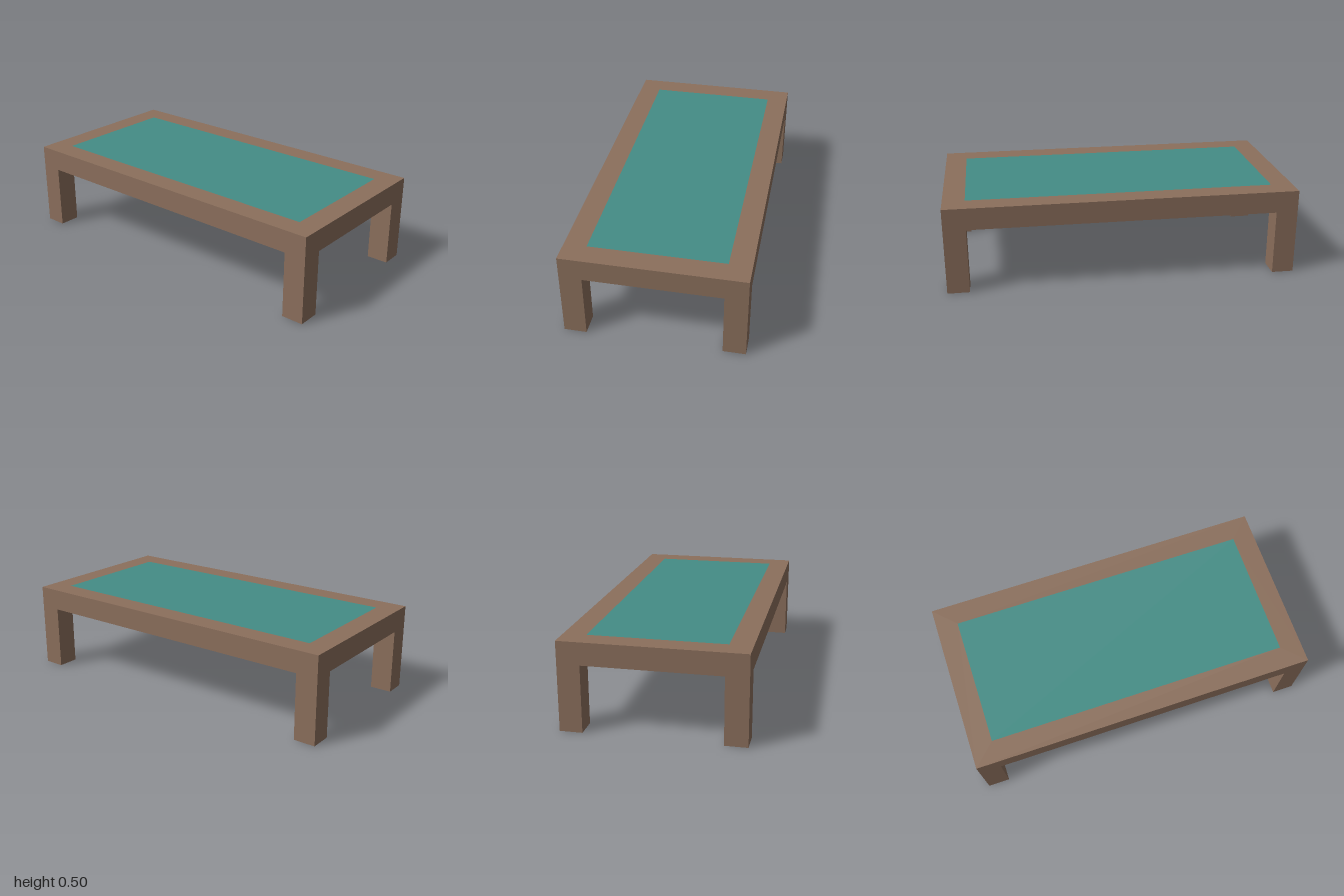
import * as THREE from 'three';

export function createModel() {
  const group = new THREE.Group();
  const wood = new THREE.MeshStandardMaterial({ color: 0x8b6f5c });
  wood.name = 'brown wood';
  const teal = new THREE.MeshStandardMaterial({ color: 0x448d86 });
  teal.name = 'teal panel';

  const length = 2, depth = 1, height = 0.5, beam = 0.125;
  const legHeight = height - beam;

  const box = (name, material, size, position) => {
    const mesh = new THREE.Mesh(new THREE.BoxGeometry(...size), material);
    mesh.name = name;
    mesh.position.set(...position);
    group.add(mesh);
  };

  // Rectangular frame around the table top
  const rectangle = (path, w, d) => path
    .moveTo(-w / 2, -d / 2).lineTo(w / 2, -d / 2)
    .lineTo(w / 2, d / 2).lineTo(-w / 2, d / 2).closePath();
  const outline = new THREE.Shape();
  rectangle(outline, length, depth);
  const opening = new THREE.Path();
  rectangle(opening, length - 2 * beam, depth - 2 * beam);
  outline.holes.push(opening);
  const frameGeometry = new THREE.ExtrudeGeometry(outline, { depth: beam, bevelEnabled: false });
  frameGeometry.rotateX(-Math.PI / 2);
  const frame = new THREE.Mesh(frameGeometry, wood);
  frame.name = 'topFrame';
  frame.position.y = legHeight;
  group.add(frame);

  // Inset panel, flush with the frame above and below
  box('topPanel', teal, [length - 2 * beam, beam, depth - 2 * beam], [0, height - beam / 2, 0]);

  // Four square corner legs
  for (const [side, sx] of [['Left', 1], ['Right', -1]]) {
    for (const [end, sz] of [['front', 1], ['back', -1]]) {
      box(`${end}${side}Leg`, wood, [beam, legHeight, beam],
        [sx * (length - beam) / 2, legHeight / 2, sz * (depth - beam) / 2]);
    }
  }
  return group;
}
